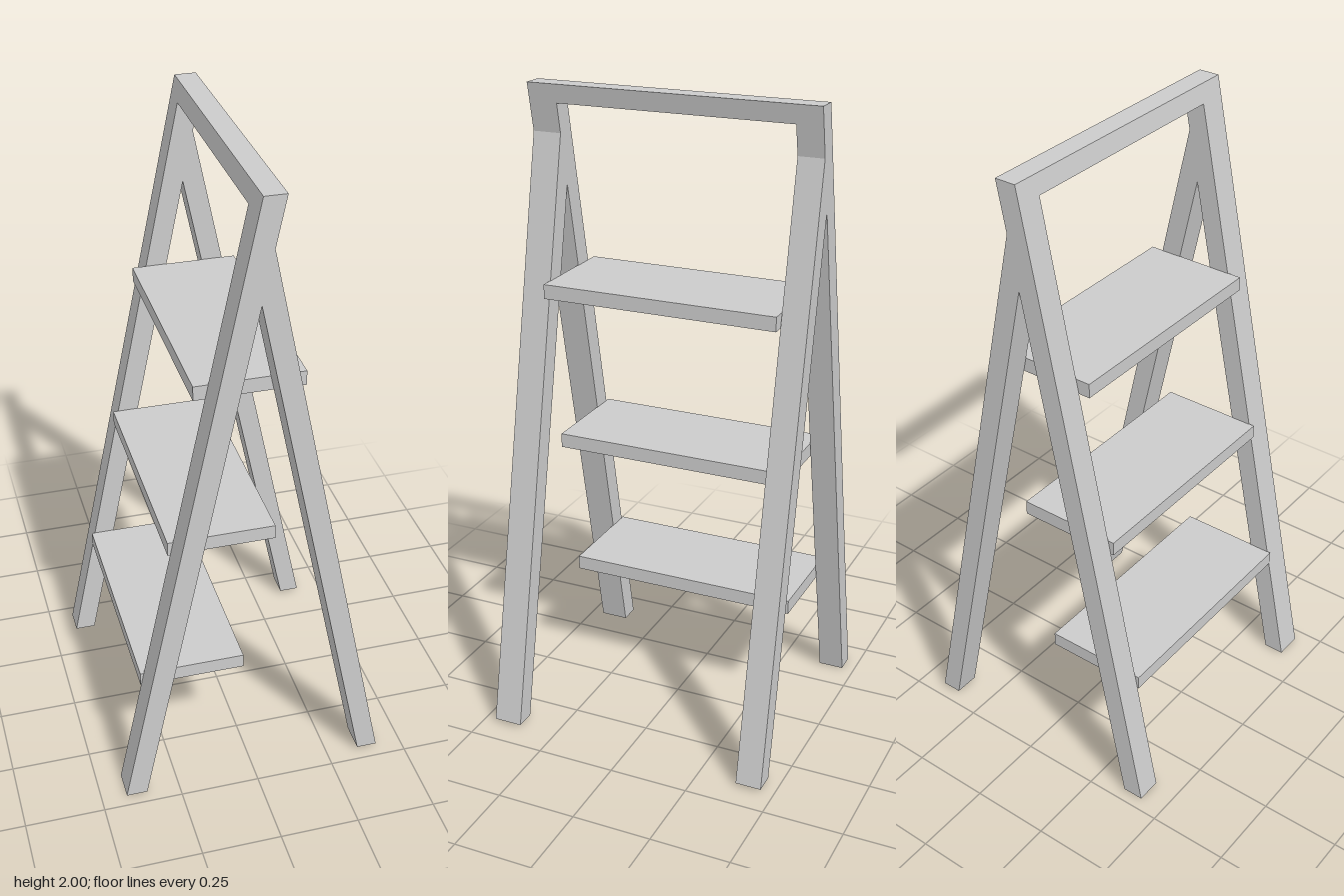
import * as THREE from 'three';

const material = new THREE.MeshStandardMaterial({ color: 0xcccccc, flatShading: true });

// Extrudes an outline in the xy plane between two z positions.
function slab(name, points, zBack, zFront) {
  const shape = new THREE.Shape(points.map(([x, y]) => new THREE.Vector2(x, y)));
  const geometry = new THREE.ExtrudeGeometry(shape, { depth: zFront - zBack, bevelEnabled: false });
  geometry.translate(0, 0, zBack);
  const mesh = new THREE.Mesh(geometry, material);
  mesh.name = name;
  return mesh;
}

// Left and right edges of the long sloping leg at height y.
const legLeft = (y) => -0.42 + 0.2075 * y;
const legRight = (y) => legLeft(y) + 0.066;

export function createModel() {
  const group = new THREE.Group();
  group.name = 'stepLadder';

  // A-shaped side frames: long climbing leg joined by a shorter support leg
  const outline = [
    [legLeft(0), 0], [legRight(0), 0],
    [legRight(1.69), 1.69],
    [0.351, 0.01], [0.415, 0.01],
    [legRight(1.85), 1.85],
    [legRight(2), 2], [legLeft(2), 2],
  ];
  group.add(slab('frontFrame', outline, 0.369, 0.46));
  group.add(slab('backFrame', outline, -0.46, -0.379));

  // Slanted bar joining the tops of the frames
  const bar = [
    [legLeft(1.942), 1.942], [legRight(1.942), 1.942],
    [legRight(2), 2], [legLeft(2), 2],
  ];
  group.add(slab('topBar', bar, -0.379, 0.369));

  // Three level treads
  const treads = [[-0.18, 0.393], [-0.086, 0.876], [-0.005, 1.395]];
  treads.forEach(([x, y], i) => {
    const tread = new THREE.Mesh(new THREE.BoxGeometry(0.33, 0.045, 0.748), material);
    tread.position.set(x, y, -0.003);
    tread.name = `tread${i + 1}`;
    group.add(tread);
  });

  return group;
}
